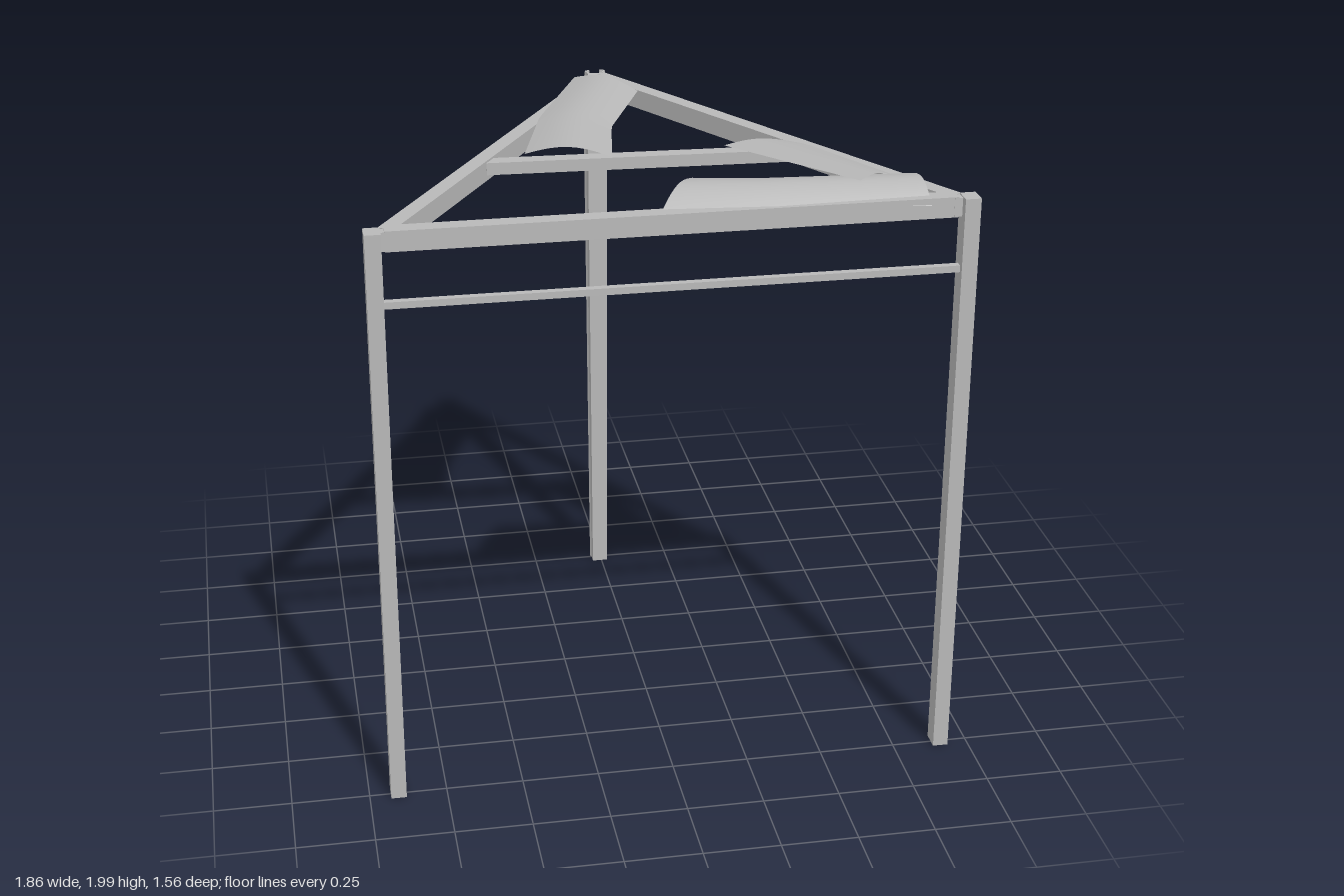
import * as THREE from 'three';

const steel = new THREE.MeshStandardMaterial({ color: 0xb8b8b8 });
steel.name = 'greySteel';
const sheetSteel = steel.clone();
sheetSteel.name = 'greySheet';
sheetSteel.side = THREE.DoubleSide;

function add(group, name, geometry, material = steel) {
  const mesh = new THREE.Mesh(geometry, material);
  mesh.name = name;
  group.add(mesh);
  return mesh;
}

// Straight rectangular bar between two points in plan (x, z)
function bar(group, name, [x0, z0], [x1, z1], y, height, width) {
  const mesh = add(group, name, new THREE.BoxGeometry(Math.hypot(x1 - x0, z1 - z0), height, width));
  mesh.position.set((x0 + x1) / 2, y, (z0 + z1) / 2);
  mesh.rotation.y = -Math.atan2(z1 - z0, x1 - x0);
  return mesh;
}

// Hollow square post, open at the foot and capped at the top
function postGeometry(w, d, height) {
  const rect = (a, b) => [[-a, -b], [a, -b], [a, b], [-a, b]].map(([x, y]) => new THREE.Vector2(x, y));
  const shape = new THREE.Shape(rect(w / 2, d / 2));
  shape.holes.push(new THREE.Path(rect(w / 2 - 0.004, d / 2 - 0.004)));
  return new THREE.ExtrudeGeometry(shape, { depth: height, bevelEnabled: false }).rotateX(-Math.PI / 2);
}

// Curved sheet lofted between two edge polylines, arched across its width
function sheetGeometry(edgeA, edgeB, arch) {
  const nu = 16, nv = 10;
  const curve = (pts) => {
    const path = new THREE.CurvePath();
    for (let i = 1; i < pts.length; i++) {
      path.add(new THREE.LineCurve3(new THREE.Vector3(...pts[i - 1]), new THREE.Vector3(...pts[i])));
    }
    return path;
  };
  const a = curve(edgeA), b = curve(edgeB);
  const geometry = new THREE.PlaneGeometry(1, 1, nu, nv);
  const pos = geometry.attributes.position;
  for (let j = 0; j <= nv; j++) {
    for (let i = 0; i <= nu; i++) {
      const v = j / nv;
      const p = a.getPoint(i / nu).lerp(b.getPoint(i / nu), v);
      pos.setXYZ(j * (nu + 1) + i, p.x, p.y + arch * Math.sin(Math.PI * v), p.z);
    }
  }
  geometry.computeVertexNormals();
  return geometry;
}

// Back leg: lipped channel open to the rear, widest just below the top
function channelLegGeometry(height) {
  const half = [[0, -0.032], [0.034, -0.032], [0.034, 0.012], [0.040, 0.022], [0.036, 0.036],
    [0.020, 0.036], [0.020, 0.031], [0.031, 0.031], [0.033, 0.022], [0.027, 0.013], [0.027, -0.006], [0, -0.006]];
  const mirrored = half.slice(1, -1).reverse().map(([x, y]) => [-x, y]);
  const shape = new THREE.Shape([...half, ...mirrored].map(([x, y]) => new THREE.Vector2(x, y)));
  const geometry = new THREE.ExtrudeGeometry(shape, { depth: height, steps: 16, bevelEnabled: false });
  geometry.rotateX(-Math.PI / 2);
  const pos = geometry.attributes.position;
  for (let i = 0; i < pos.count; i++) {
    const t = pos.getY(i) / height;
    const s = t < 0.88 ? 0.8 + 0.22 * t / 0.88 : 1.02 - 0.12 * (t - 0.88) / 0.12;
    pos.setX(i, pos.getX(i) * s);
    pos.setZ(i, pos.getZ(i) * s);
  }
  geometry.computeVertexNormals();
  return geometry;
}

export function createModel() {
  const model = new THREE.Group();
  model.name = 'triangularFrame';

  for (const [side, s] of [['left', 1], ['right', -1]]) {
    // Front posts with caps and small corner brackets
    add(model, side + 'FrontPost', postGeometry(0.05, 0.064, 1.934)).position.set(s * 0.907, 0, 0.746);
    add(model, side + 'PostCap', new THREE.BoxGeometry(0.05, 0.004, 0.064)).position.set(s * 0.907, 1.934, 0.746);
    add(model, side + 'CornerBracket', new THREE.BoxGeometry(0.03, 0.06, 0.045)).position.set(s * 0.872, 1.902, 0.728);
    // Side rails meeting at the back leg
    bar(model, side + 'SideRail', [s * 0.865, 0.725], [s * 0.005, -0.722], 1.902, 0.065, 0.052);
  }

  const leg = add(model, 'backLeg', channelLegGeometry(1.935));
  leg.position.set(-0.006, 0, -0.741);

  // Front rails and the tie across the middle
  bar(model, 'frontRail', [-0.87, 0.722], [0.87, 0.722], 1.902, 0.065, 0.055);
  bar(model, 'lowerFrontBar', [-0.885, 0.748], [0.885, 0.748], 1.705, 0.022, 0.024);
  bar(model, 'crossTie', [-0.5, 0.14], [0.54, 0.178], 1.908, 0.04, 0.05);

  // Loose curved roof sheets
  add(model, 'longSheet', sheetGeometry(
    [[-0.375, 1.94, 0.13], [-0.275, 1.937, -0.25], [-0.09, 1.937, -0.69]],
    [[-0.11, 1.95, 0.235], [-0.06, 1.945, -0.08], [0.1, 1.937, -0.49]], 0.028), sheetSteel);
  add(model, 'shortSheet', sheetGeometry(
    [[0.27, 1.937, 0.145], [0.42, 1.962, 0.42], [0.575, 1.985, 0.69]],
    [[0.48, 1.94, 0.14], [0.53, 1.945, 0.205], [0.695, 1.975, 0.625]], 0.014), sheetSteel);
  add(model, 'frontSheet', sheetGeometry(
    [[0.09, 1.965, 0.52], [0.3, 1.96, 0.545], [0.785, 1.955, 0.565]],
    [[-0.04, 1.943, 0.725], [0.3, 1.935, 0.735], [0.785, 1.912, 0.753]], 0.028), sheetSteel);

  return model;
}
